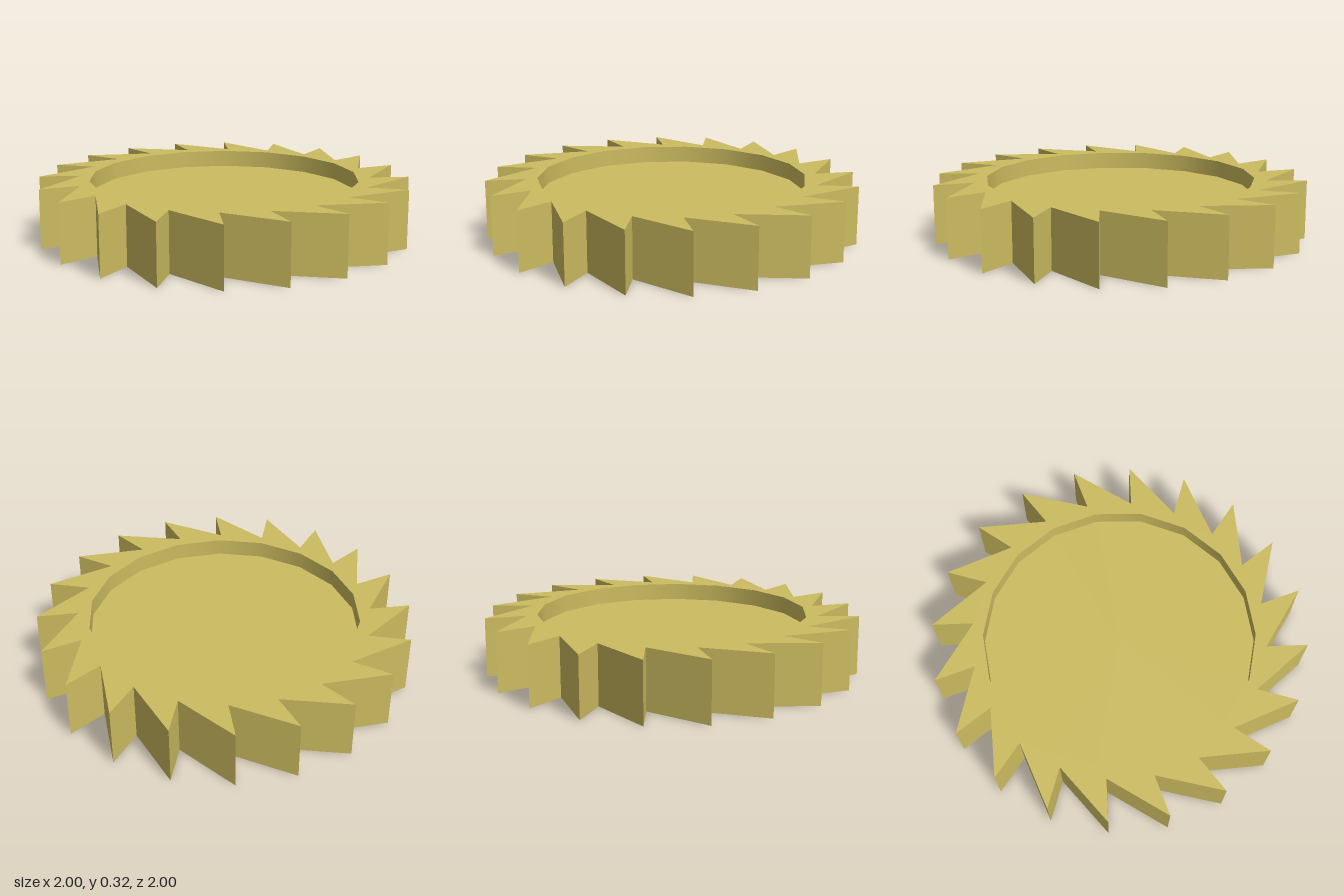
import * as THREE from 'three';

const HEIGHT = 0.32;
const HOLE_RADIUS = 0.73;
const HOLE_SIDES = 18;
const TEETH = 20;

// Point at a clockwise angle in degrees, measured from the back (-z)
function polar(radius, degrees) {
  const a = THREE.MathUtils.degToRad(degrees);
  return new THREE.Vector2(radius * Math.sin(a), radius * Math.cos(a));
}

// Ring of raked teeth with a faceted opening
function toothedRimGeometry() {
  const outline = [];
  for (let i = 0; i < TEETH; i++) {
    const angle = 9 + (i * 360) / TEETH;
    outline.push(polar(0.787, angle)); // valley
    outline.push(polar(1.008, angle - 1.6)); // undercut tip
  }
  // The opening runs the opposite way round, so its wall faces inward
  const hole = [];
  for (let i = 0; i < HOLE_SIDES; i++) hole.push(polar(HOLE_RADIUS, 10 - (i * 360) / HOLE_SIDES));

  const shape = new THREE.Shape(outline);
  shape.holes.push(new THREE.Path(hole));
  const geometry = new THREE.ExtrudeGeometry(shape, { depth: HEIGHT, bevelEnabled: false });
  geometry.rotateX(-Math.PI / 2);

  // Smooth shading on the wall of the opening only
  const pos = geometry.attributes.position;
  const normal = geometry.attributes.normal;
  for (let i = 0; i < pos.count; i++) {
    const r = Math.hypot(pos.getX(i), pos.getZ(i));
    if (r < HOLE_RADIUS + 0.01 && Math.abs(normal.getY(i)) < 0.5) {
      normal.setXYZ(i, -pos.getX(i) / r, 0, -pos.getZ(i) / r);
    }
  }
  return geometry;
}

export function createModel() {
  const group = new THREE.Group();
  group.name = 'toothedWheel';
  const brass = new THREE.MeshStandardMaterial({ color: 0xccbc60 });
  brass.name = 'brass';

  const rim = new THREE.Mesh(toothedRimGeometry(), brass);
  rim.name = 'toothedRim';

  // Web closing the opening, recessed from both faces
  const web = new THREE.Mesh(
    new THREE.CylinderGeometry(HOLE_RADIUS, HOLE_RADIUS, 0.134, HOLE_SIDES, 1, false, Math.PI / 2),
    brass
  );
  web.name = 'recessedWeb';
  web.position.y = HEIGHT / 2;

  group.add(rim, web);
  return group;
}
